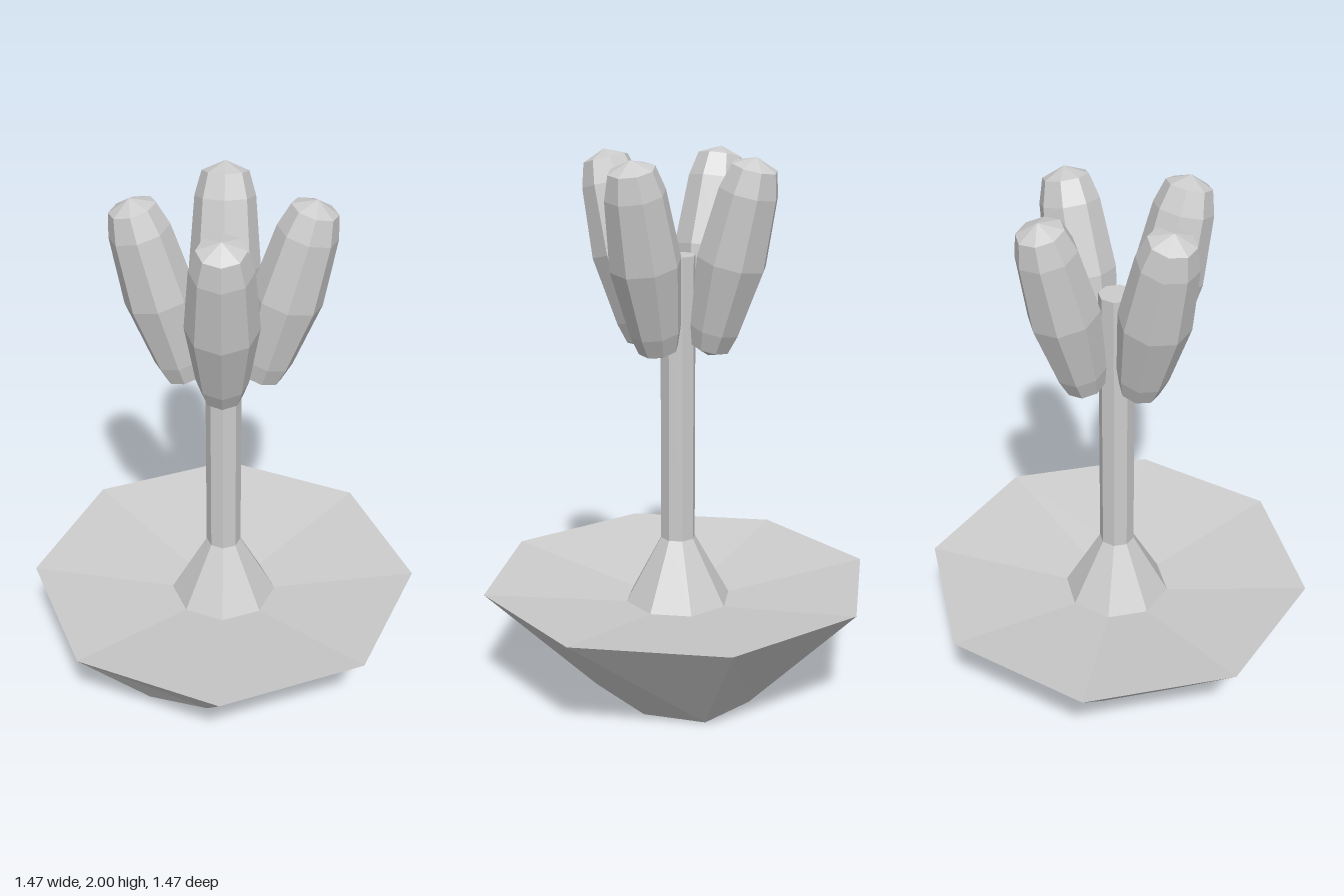
import * as THREE from 'three';

const SIDES = 8;
const material = new THREE.MeshStandardMaterial({ color: 0xcccccc, flatShading: true });

// Eight-sided turned part from [radius, height] pairs, listed bottom to top
function turned(name, profile) {
  const points = profile.map(([r, y]) => new THREE.Vector2(r, y));
  const mesh = new THREE.Mesh(new THREE.LatheGeometry(points, SIDES), material);
  mesh.name = name;
  return mesh;
}

export function createModel() {
  const model = new THREE.Group();
  model.name = 'stemmedPlant';

  // Base: flaring bowl with a shallow sunken top
  const base = turned('base', [[0, 0], [0.4, 0], [0.737, 0.41], [0.2, 0.33], [0, 0.3]]);
  const pos = base.geometry.attributes.position;
  for (let i = 0; i < pos.count; i++) {
    // The foot is narrower across x than along z
    if (pos.getY(i) > 0.001) continue;
    const x = pos.getX(i);
    pos.setX(i, x * (Math.abs(x) > 0.35 ? 0.8 : 0.71));
  }
  base.geometry.computeVertexNormals();
  model.add(base);

  // Stem with a flared foot and flat cap
  model.add(turned('stem', [[0.2, 0.33], [0.065, 0.575], [0.065, 1.64], [0, 1.64]]));

  // Four elongated buds leaning outwards on the diagonals
  const bud = [[0, 0], [0.072, 0.034], [0.093, 0.107], [0.128, 0.36], [0.108, 0.613], [0.083, 0.7], [0, 0.735]];
  const up = new THREE.Vector3(0, 1, 0);
  for (const sx of [-1, 1]) {
    for (const sz of [-1, 1]) {
      const mesh = turned('bud', bud);
      mesh.position.set(0.09 * sx, 1.288, 0.09 * sz);
      const axis = new THREE.Vector3(0.13 * sx, 0.708, 0.13 * sz).normalize();
      mesh.quaternion.setFromUnitVectors(up, axis);
      model.add(mesh);
    }
  }
  return model;
}
